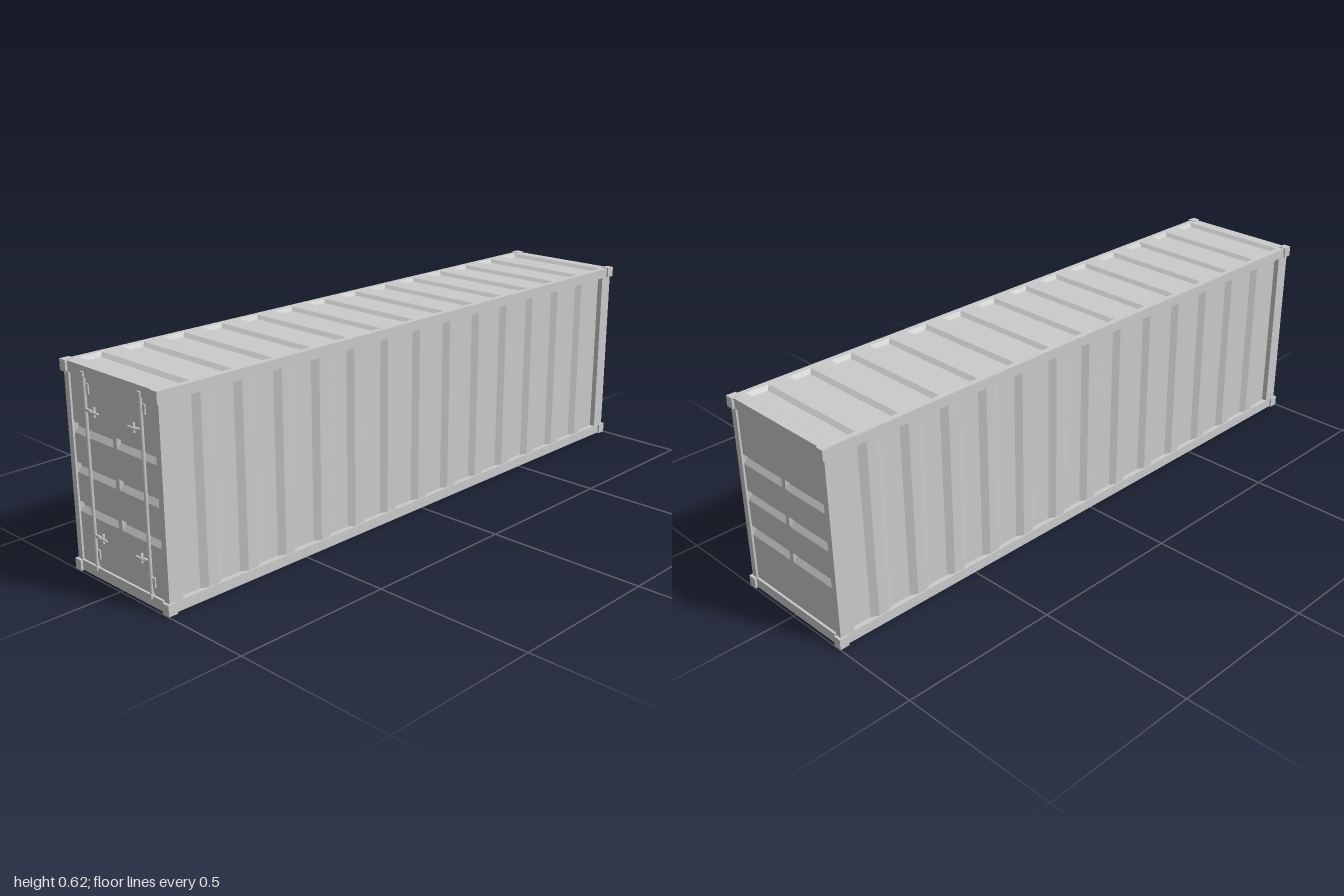
import * as THREE from 'three';
import { mergeGeometries } from 'three/addons/utils/BufferGeometryUtils.js';

const mat = new THREE.MeshStandardMaterial({ color: 0xcccccc });

function add(parent, name, geo, x = 0, y = 0, z = 0) {
  const m = new THREE.Mesh(geo, mat);
  m.name = name;
  m.position.set(x, y, z);
  parent.add(m);
  return m;
}
const box = (w, h, d) => new THREE.BoxGeometry(w, h, d);

// Corners of a rectangle, counter-clockwise
const rect = (x0, y0, x1, y1) => [[x0, y0], [x1, y0], [x1, y1], [x0, y1]];
const points = (corners) => corners.map(([x, y]) => new THREE.Vector2(x, y));

// Pressed tray: sloping walls down to a flat bottom
function tray({ x, y, w, h, side, top, bottom, depth }) {
  const o = rect(x - w / 2, y - h / 2, x + w / 2, y + h / 2).map((c) => [...c, 0]);
  const i = rect(x - w / 2 + side, y - h / 2 + bottom, x + w / 2 - side, y + h / 2 - top)
    .map((c) => [...c, -depth]);
  const pos = [];
  const quad = (a, b, c, d) => pos.push(...a, ...b, ...c, ...a, ...c, ...d);
  for (let k = 0; k < 4; k++) {
    const n = (k + 1) % 4;
    quad(o[k], o[n], i[n], i[k]);
  }
  quad(...i);
  const g = new THREE.BufferGeometry();
  g.setAttribute('position', new THREE.Float32BufferAttribute(pos, 3));
  g.computeVertexNormals();
  return g;
}

// Slab facing +z with its face at z = 0 and pressed trays in it
function pressedPanel(w, h, thickness, trays) {
  const shape = new THREE.Shape(points(rect(-w / 2, -h / 2, w / 2, h / 2)));
  for (const t of trays) {
    const r = rect(t.x - t.w / 2, t.y - t.h / 2, t.x + t.w / 2, t.y + t.h / 2);
    shape.holes.push(new THREE.Path(points(r.reverse())));
  }
  const slab = new THREE.ExtrudeGeometry(shape, { depth: thickness, bevelEnabled: false })
    .translate(0, 0, -thickness).toNonIndexed();
  slab.deleteAttribute('uv');
  return mergeGeometries([slab, ...trays.map(tray)]);
}

// Corrugated side walls: the plan outline pulled upward
function hullGeometry() {
  const out = 0.204, deep = 0.192, slope = 0.021, flat = 0.064, pitch = 0.14;
  const edge = [];
  for (let i = 0; i < 14; i++) {
    const zc = (i - 6.5) * pitch;
    const a = zc - flat / 2, b = zc + flat / 2;
    if (i > 0) edge.push([out, a - slope]);
    edge.push([deep, a], [deep, b]);
    if (i < 13) edge.push([out, b + slope]);
  }
  const mirrored = edge.map(([x, z]) => [-x, z]).reverse();
  return new THREE.ExtrudeGeometry(new THREE.Shape(points([...edge, ...mirrored])),
    { depth: 0.558, bevelEnabled: false }).rotateX(Math.PI / 2);
}

// One locking bar with its brackets and handles; s points toward the door middle
function lockingBar(x, s) {
  const g = new THREE.Group();
  g.name = 'lockingBar';
  g.position.set(x, 0, 0.991);
  add(g, 'bar', new THREE.CylinderGeometry(0.005, 0.005, 0.57, 12), 0, 0.3125, 0);
  for (const y of [0.031, 0.594]) add(g, 'barEnd', box(0.012, 0.013, 0.014), 0, y, 0);
  for (const y of [0.072, 0.553]) add(g, 'bracket', box(0.029, 0.028, 0.006), 0, y, -0.004);
  for (const y of [0.128, 0.493]) {
    add(g, 'handleClamp', box(0.026, 0.009, 0.006), s * 0.014, y, 0);
    add(g, 'handle', new THREE.CapsuleGeometry(0.0035, 0.035, 4, 8).rotateZ(Math.PI / 2),
      s * 0.039, y, 0.002);
    add(g, 'handlePin', box(0.004, 0.028, 0.008), s * 0.037, y, -0.002);
  }
  return g;
}

export function createModel() {
  const model = new THREE.Group();
  model.name = 'shippingContainer';

  add(model, 'corrugatedSides', hullGeometry(), 0, 0.588, 0);

  // Roof and floor with fourteen pressed trays each
  const slots = Array.from({ length: 14 }, (_, i) => ({
    x: 0, y: (i - 6.5) * 0.141, w: 0.38, h: 0.074,
    side: 0.013, top: 0.013, bottom: 0.013, depth: 0.01,
  }));
  const deck = pressedPanel(0.416, 1.986, 0.031, slots);
  add(model, 'roof', deck, 0, 0.616, 0).rotation.x = -Math.PI / 2;
  add(model, 'floor', deck, 0, 0.002, 0).rotation.x = Math.PI / 2;

  // Ends with two columns of three pressed grooves
  const grooves = [];
  for (const x of [-0.0975, 0.0975]) {
    for (const y of [-0.116, 0, 0.116]) {
      grooves.push({ x, y: y + 0.0005, w: 0.179, h: 0.031, side: 0.004, top: 0.007, bottom: 0.016, depth: 0.011 });
    }
  }
  const end = pressedPanel(0.376, 0.556, 0.04, grooves);
  add(model, 'frontDoors', end, 0, 0.31, 0.986);
  add(model, 'backWall', end, 0, 0.31, -0.986).rotation.y = Math.PI;

  // Corner posts and castings
  for (const sx of [-1, 1]) {
    for (const sz of [-1, 1]) {
      add(model, 'cornerPost', box(0.02, 0.558, 0.046), sx * 0.197, 0.31, sz * 0.969);
      for (const y of [0.0165, 0.6015]) {
        add(model, 'cornerCasting', box(0.026, 0.033, 0.03), sx * 0.2, y, sz * 0.985);
      }
    }
  }

  model.add(lockingBar(-0.117, 1), lockingBar(0.131, -1));
  return model;
}
